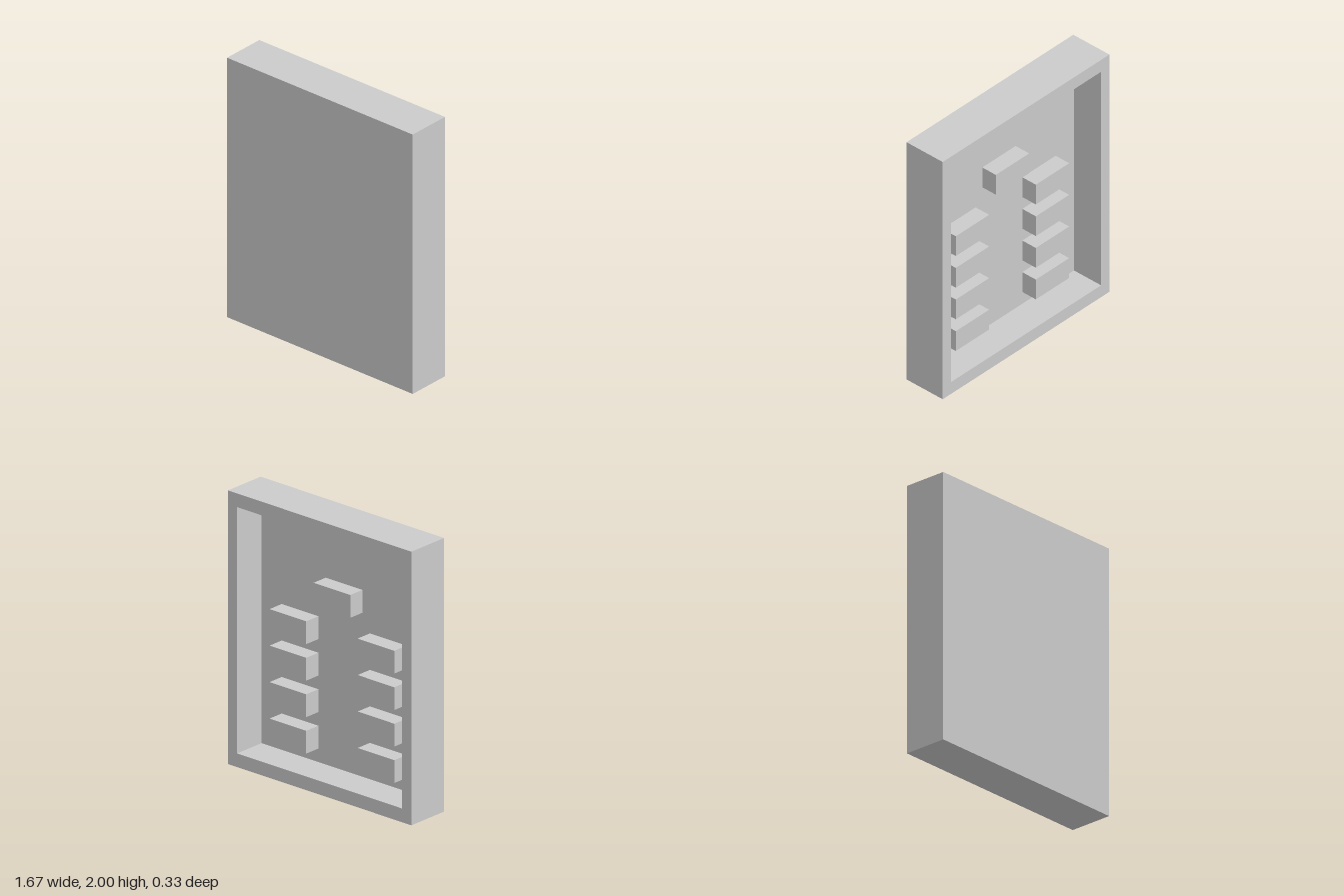
import * as THREE from 'three';

const W = 5 / 3, H = 2, D = 1 / 3;
const PANEL_T = 1 / 12;             // thickness of the closed front panel
const PANEL_BACK = D / 2 - PANEL_T; // z of the panel's inner face

export function createModel() {
  const model = new THREE.Group();
  const material = new THREE.MeshStandardMaterial({ color: 0xcccccc, flatShading: true });

  const add = (name, geometry, x, y, z) => {
    const mesh = new THREE.Mesh(geometry, material);
    mesh.name = name;
    mesh.position.set(x, y, z);
    model.add(mesh);
  };

  const rectangle = (path, w, h) => path
    .moveTo(-w / 2, -h / 2).lineTo(w / 2, -h / 2)
    .lineTo(w / 2, h / 2).lineTo(-w / 2, h / 2).closePath();

  // Closed front panel
  add('frontPanel', new THREE.BoxGeometry(W, H, PANEL_T), 0, H / 2, D / 2 - PANEL_T / 2);

  // Rim around the open back
  const rim = rectangle(new THREE.Shape(), W, H);
  rim.holes.push(rectangle(new THREE.Path(), W * 0.9, H * 0.9));
  add('rim', new THREE.ExtrudeGeometry(rim, { depth: D - PANEL_T, bevelEnabled: false }), 0, H / 2, -D / 2);

  // Blocks on the inner face: one at the top, two columns of four below
  const blockDepth = 0.125;
  const block = new THREE.BoxGeometry(1 / 3, 1 / 6, blockDepth);
  const blockZ = PANEL_BACK - blockDepth / 2;
  add('topBlock', block, 0, 1.383, blockZ);
  for (const side of [1, -1]) {
    for (let row = 0; row < 4; row++) {
      add(`${side > 0 ? 'left' : 'right'}Block${row + 1}`, block, side * 0.4, 1.083 - row * 0.2667, blockZ);
    }
  }

  return model;
}
